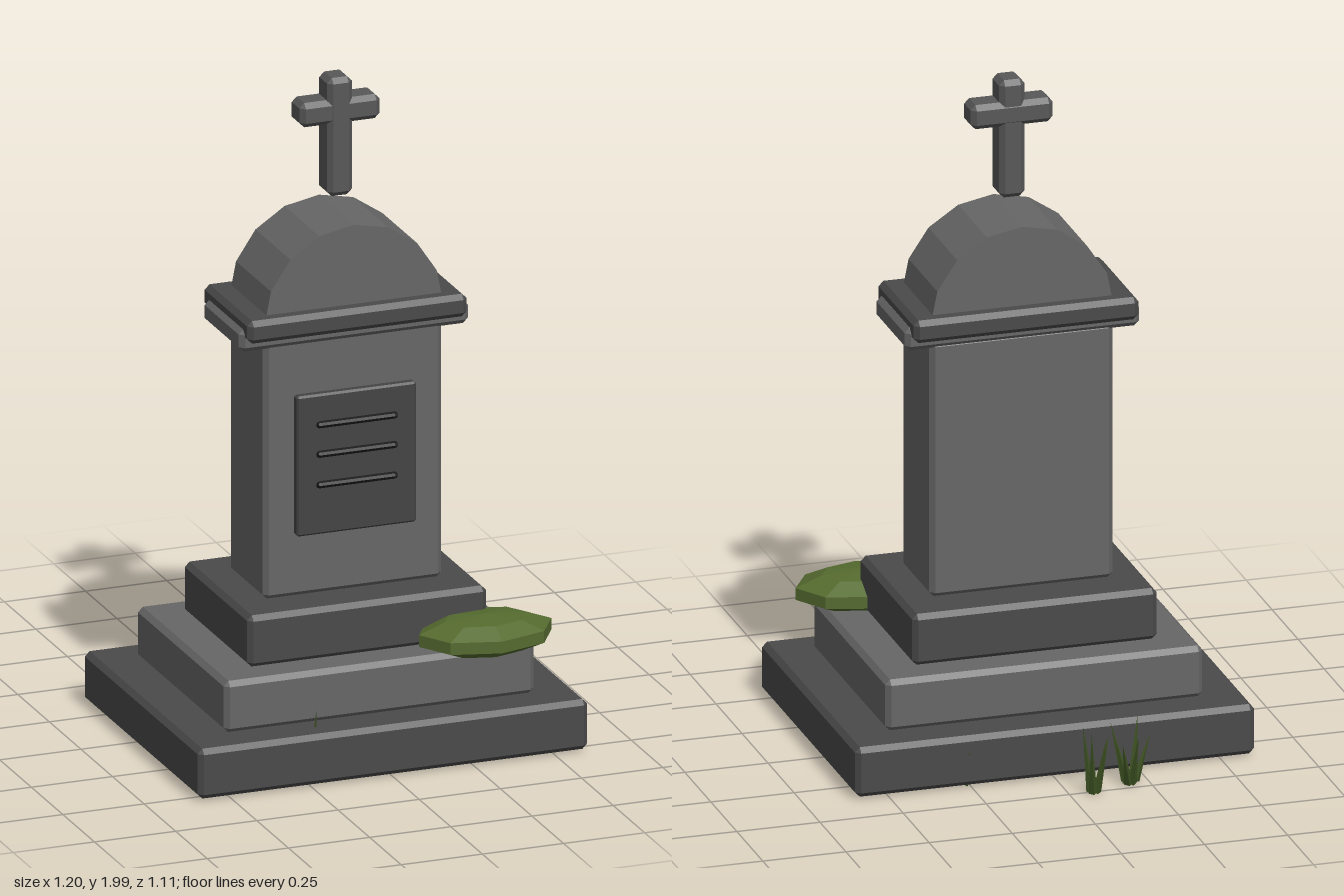
import * as THREE from 'three';
import { ConvexGeometry } from 'three/addons/geometries/ConvexGeometry.js';

const mat = (color) => new THREE.MeshStandardMaterial({ color, flatShading: true });

// Box given by its extents, with every edge cut by a flat chamfer c
function chamferBox([x0, x1], [y0, y1], [z0, z1], c) {
  const h = [(x1 - x0) / 2, (y1 - y0) / 2, (z1 - z0) / 2];
  const points = [];
  for (const sx of [-1, 1]) for (const sy of [-1, 1]) for (const sz of [-1, 1]) {
    for (let full = 0; full < 3; full++) {
      const [x, y, z] = h.map((v, i) => (i === full ? v : v - c));
      points.push(new THREE.Vector3(sx * x, sy * y, sz * z));
    }
  }
  return new ConvexGeometry(points).translate((x0 + x1) / 2, (y0 + y1) / 2, (z0 + z1) / 2);
}

// Thin tapering blade from a root point to a tip point
function blade(root, tip, radius) {
  const a = new THREE.Vector3(...root), b = new THREE.Vector3(...tip);
  const dir = b.clone().sub(a), len = dir.length();
  const geo = new THREE.ConeGeometry(radius, len, 4).translate(0, len / 2, 0);
  geo.applyQuaternion(new THREE.Quaternion().setFromUnitVectors(new THREE.Vector3(0, 1, 0), dir.normalize()));
  return geo.translate(a.x, a.y, a.z);
}

export function createModel() {
  const group = new THREE.Group();
  const dark = mat(0x4a4a4a), light = mat(0x666666), crossStone = mat(0x585858);
  const slate = mat(0x444444), ink = mat(0x151515);
  const moss = mat(0x556b2f), grass = mat(0x3d5222);

  const add = (name, geo, material, parent = group) => {
    const mesh = new THREE.Mesh(geo, material);
    mesh.name = name;
    parent.add(mesh);
    return mesh;
  };

  // Stepped plinth, shaft and cornice
  const blocks = [
    ['baseStep', [-0.6, 0.6], [0.015, 0.167], [-0.37, 0.552], 0.015, dark],
    ['middleStep', [-0.478, 0.476], [0.165, 0.322], [-0.263, 0.444], 0.015, light],
    ['upperStep', [-0.37, 0.366], [0.32, 0.477], [-0.17, 0.352], 0.015, dark],
    ['shaft', [-0.276, 0.275], [0.475, 1.26], [-0.045, 0.232], 0.015, light],
    ['lowerCornice', [-0.354, 0.352], [1.243, 1.312], [-0.054, 0.245], 0.015, light],
    ['upperCornice', [-0.34, 0.336], [1.276, 1.345], [-0.09, 0.277], 0.015, dark],
    ['plaque', [-0.184, 0.184], [0.665, 1.092], [0.215, 0.256], 0.006, slate],
  ];
  for (const [name, x, y, z, c, material] of blocks) add(name, chamferBox(x, y, z, c), material);

  // Raised bars on the plaque
  for (const y of [1.0, 0.91, 0.817]) {
    const geo = new THREE.CapsuleGeometry(0.011, 0.228, 3, 8).rotateZ(Math.PI / 2);
    add('plaqueBar', geo.translate(0, y, 0.257), ink);
  }

  // Half-round cap
  const arch = new THREE.Shape();
  for (let i = 0; i <= 8; i++) {
    const a = (i / 8) * Math.PI;
    arch[i ? 'lineTo' : 'moveTo'](0.276 * Math.cos(a), 1.31 + 0.276 * Math.sin(a));
  }
  const archGeo = new THREE.ExtrudeGeometry(arch, { depth: 0.277, bevelEnabled: false });
  add('archCap', archGeo.translate(0, 0, -0.045), light);

  // Cross, standing just clear of the cap
  const cross = new THREE.Group();
  cross.name = 'cross';
  group.add(cross);
  add('crossPost', chamferBox([-0.04, 0.037], [1.64, 2.0], [0.046, 0.136], 0.015), crossStone, cross);
  add('crossArm', chamferBox([-0.124, 0.123], [1.86, 1.934], [0.044, 0.134], 0.015), crossStone, cross);

  // Moss cushion on the front corner
  const mossGeo = new THREE.SphereGeometry(1, 8, 5).scale(0.214, 0.058, 0.145);
  add('moss', mossGeo.translate(0.338, 0.357, 0.403), moss);

  // Grass tufts: root centre x, z, then the tip of each blade
  const tufts = [
    [-0.195, -0.462, [
      [-0.155, 0.15, -0.517], [-0.202, 0.17, -0.52], [-0.26, 0.15, -0.447],
      [-0.235, 0.195, -0.405], [-0.152, 0.18, -0.408], [-0.152, 0.14, -0.46]]],
    [-0.07, -0.505, [
      [-0.122, 0.17, -0.488], [-0.1, 0.185, -0.54], [-0.05, 0.205, -0.555],
      [-0.044, 0.21, -0.488]]],
    [-0.22, 0.455, [[-0.215, 0.218, 0.488], [-0.25, 0.15, 0.44], [-0.18, 0.14, 0.44]]],
    [0.26, -0.325, [[0.26, 0.12, -0.373], [0.3, 0.15, -0.3], [0.22, 0.14, -0.3]]],
  ];
  for (const [x, z, tips] of tufts) {
    const tuft = new THREE.Group();
    tuft.name = 'grassTuft';
    group.add(tuft);
    for (const tip of tips) {
      const root = [x + (tip[0] - x) * 0.25, 0.012, z + (tip[2] - z) * 0.25];
      add('grassBlade', blade(root, tip, 0.013), grass, tuft);
    }
  }
  return group;
}
